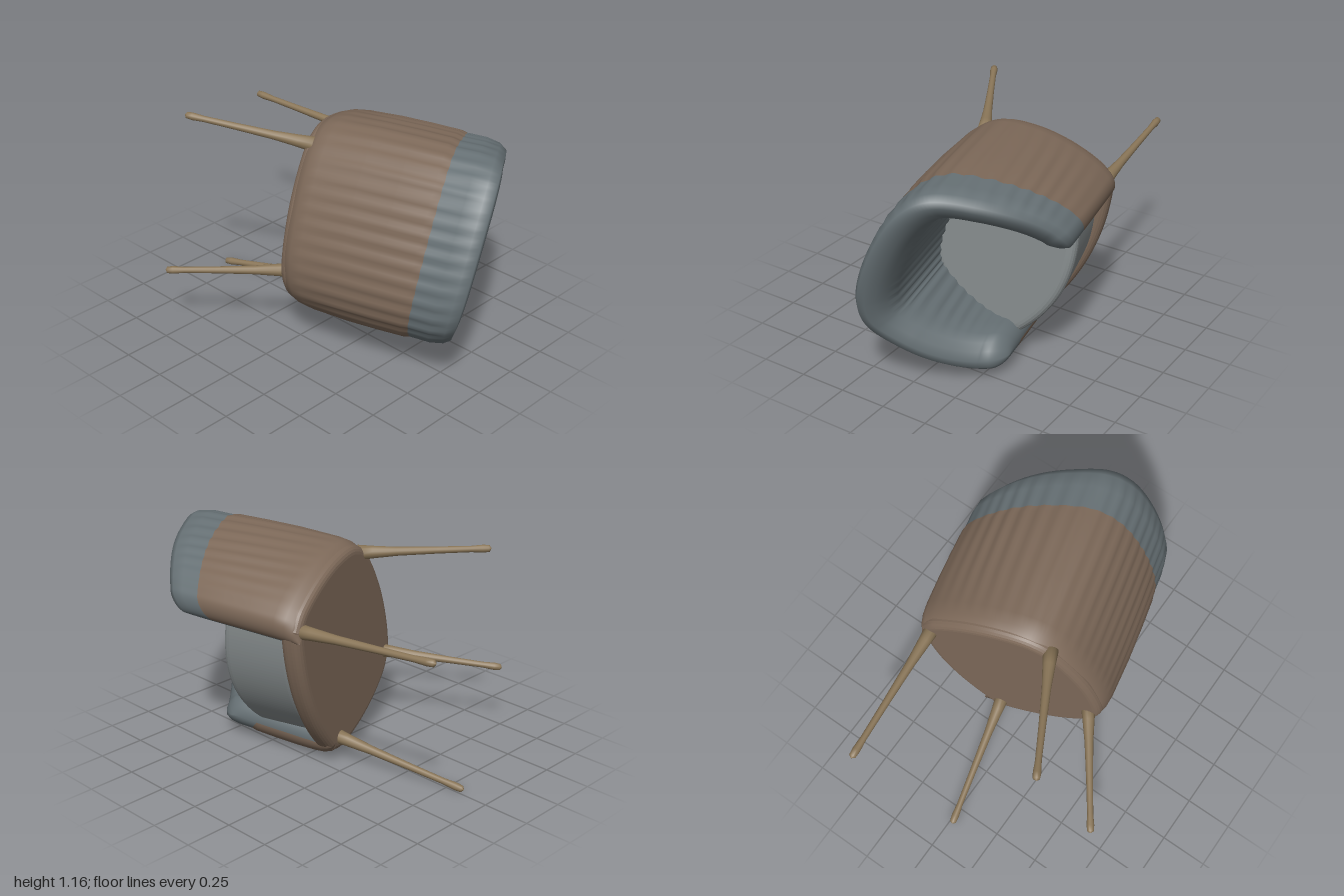
import * as THREE from 'three';

const mat = (color) => new THREE.MeshStandardMaterial({ color, side: THREE.DoubleSide });
const wood = mat(0x7c6858), fabric = mat(0x667074), seatFabric = mat(0x858b8c), legWood = mat(0x8a7658);

// Plan of the tub: [side, front], one half from arm tip to the middle of the back
const half = [[0.455, 0.34], [0.515, 0.2], [0.54, 0], [0.52, -0.2], [0.45, -0.37], [0.3, -0.47]];
const plan = [...half, [0, -0.51], ...half.map(([x, z]) => [-x, z]).reverse()];
const path = new THREE.CatmullRomCurve3(plan.map(([x, z]) => new THREE.Vector3(x, 0, z)));

// Wall section: [inset from outside, fixed height, share of rim height]
const section = [
  [0.09, -0.005, 0], [0.055, 0.005, 0], [0.025, 0.03, 0], [0.008, 0.07, 0], [0, 0.13, 0], [-0.003, 0, 0.35],
  [-0.002, 0, 0.55], [0.002, 0, 0.72], [0.01, 0, 0.76], [0.01, 0, 0.88], [0.02, 0, 0.96], [0.045, 0, 1],
  [0.08, 0, 1], [0.125, 0, 0.97], [0.16, 0, 0.92], [0.182, 0, 0.84], [0.185, 0, 0.7], [0.182, 0, 0.5], [0.178, 0.08, 0],
];
const SEAM = 8; // section row where the outer panel meets the padding

// Swept wall with sloping rim, rounded arm fronts and shallow vertical pleats
function addShell(group) {
  const n = 180, rows = section.length, pos = [];
  for (let i = 0; i <= n; i++) {
    const t = 0.5 - 0.5 * Math.cos(Math.PI * i / n);
    const P = path.getPointAt(t), T = path.getTangentAt(t);
    const f = Math.min(1, Math.min(t, 1 - t) / 0.035);
    const round = Math.sqrt(Math.max(0, 1 - (1 - f) ** 2));
    const rim = 0.85 - 0.38 * P.z + 0.07 * P.x - 0.07 * (1 - round);
    const front = THREE.MathUtils.smoothstep(P.z, -0.1, 0.34);
    const back = THREE.MathUtils.smoothstep(-P.z, 0.1, 0.45);
    section.forEach(([d, h0, share], j) => {
      const pleated = (j > 4 && j < 10) || j > 15;
      const pleat = pleated ? 0.005 * Math.sin(t * 190) * (1 - front) : 0;
      const inset = 0.085 + (d - 0.085) * round + pleat;
      const h = h0 + share * rim;
      const lean = 0.07 * h * front + 0.055 * h * back;
      pos.push(P.x + T.z * inset, h, P.z - T.x * inset - lean);
    });
  }
  const strip = (j0, j1) => {
    const idx = [];
    for (let i = 0; i < n; i++) for (let j = j0; j < j1; j++) {
      const a = i * rows + j, b = a + rows;
      idx.push(a, b, a + 1, b, b + 1, a + 1);
    }
    return idx;
  };
  const whole = new THREE.BufferGeometry();
  whole.setAttribute('position', new THREE.Float32BufferAttribute(pos, 3));
  whole.setIndex(strip(0, rows - 1));
  whole.computeVertexNormals();
  const part = (name, j0, j1, material) => {
    const g = whole.clone();
    g.setIndex(strip(j0, j1));
    const m = new THREE.Mesh(g, material);
    m.name = name;
    group.add(m);
  };
  part('outerPanel', 0, SEAM, wood);
  part('paddedBackAndArms', SEAM, rows - 1, fabric);
}

// Slab following the plan, scaled in, with a bowed front and rounded edges; its top may slope down to the back
function slab(name, scale, frontZ, bow, bottom, top, bevel, slope, material) {
  const pts = plan.map(([x, z]) => new THREE.Vector2(x * scale, -Math.min(z * scale, frontZ)));
  const s = new THREE.Shape();
  s.moveTo(pts[0].x, pts[0].y);
  s.splineThru(pts.slice(1));
  s.quadraticCurveTo(0, -frontZ - bow * 2, pts[0].x, pts[0].y);
  const g = new THREE.ExtrudeGeometry(s, {
    depth: top - bottom - 2 * bevel, bevelSize: bevel, bevelThickness: bevel, bevelOffset: -bevel,
    bevelSegments: 5, curveSegments: 40,
  });
  g.rotateX(-Math.PI / 2);
  g.translate(0, bottom + bevel, 0);
  const p = g.attributes.position;
  for (let i = 0; i < p.count; i++) {
    const k = (p.getY(i) - bottom) / (top - bottom);
    p.setY(i, p.getY(i) + k * slope * (p.getZ(i) - frontZ));
  }
  g.computeVertexNormals();
  const m = new THREE.Mesh(g, material);
  m.name = name;
  return m;
}

// Thin turned leg running from the base to its foot
function leg(name, from, to) {
  const a = new THREE.Vector3(...from), b = new THREE.Vector3(...to);
  const L = a.distanceTo(b);
  const profile = [[0, 0], [0.04, 0], [0.032, 0.12], [0.023, 0.3], [0.018, 0.6], [0.016, 0.85], [0.02, 0.94], [0.017, 0.985], [0, 1]];
  const g = new THREE.LatheGeometry(profile.map(([r, k]) => new THREE.Vector2(r, k * L)), 14);
  const m = new THREE.Mesh(g, legWood);
  m.name = name;
  m.position.copy(a);
  m.quaternion.setFromUnitVectors(new THREE.Vector3(0, 1, 0), b.sub(a).normalize());
  return m;
}

export function createModel() {
  const model = new THREE.Group();
  model.name = 'tubChair';
  const chair = new THREE.Group();
  chair.name = 'tippedChair';
  const body = new THREE.Group();
  body.name = 'body';
  body.position.x = -0.027;
  addShell(body);
  body.add(slab('base', 0.96, 0.29, 0.08, -0.005, 0.11, 0.045, 0, wood));
  body.add(slab('seatCushion', 0.77, 0.25, 0.085, 0.08, 0.48, 0.05, 0.3, seatFabric));
  chair.add(
    body,
    leg('backLeftLeg', [0.3, 0.04, -0.41], [0.31, -0.62, -0.59]),
    leg('backRightLeg', [-0.35, 0.04, -0.35], [-0.5, -0.595, -0.535]),
    leg('frontRightLeg', [-0.42, 0.04, 0.21], [-0.515, -0.715, 0.28]),
    leg('frontLeftLeg', [0.37, 0.04, 0.24], [0.46, -0.75, 0.334]),
  );
  // Lay the chair on its side: its top faces forward, its open front points right and down
  const across = new THREE.Vector3(0.963, 0, -0.268), up = new THREE.Vector3(0.268, 0, 0.963);
  const Y = new THREE.Vector3(0, 1, 0);
  const front = across.clone().multiplyScalar(0.91).addScaledVector(Y, -0.414).normalize();
  const side = new THREE.Vector3().crossVectors(up, front).normalize();
  chair.quaternion.setFromRotationMatrix(new THREE.Matrix4().makeBasis(side, up, front));
  chair.position.set(0.13, 0.605, -0.147);
  model.add(chair);
  return model;
}
